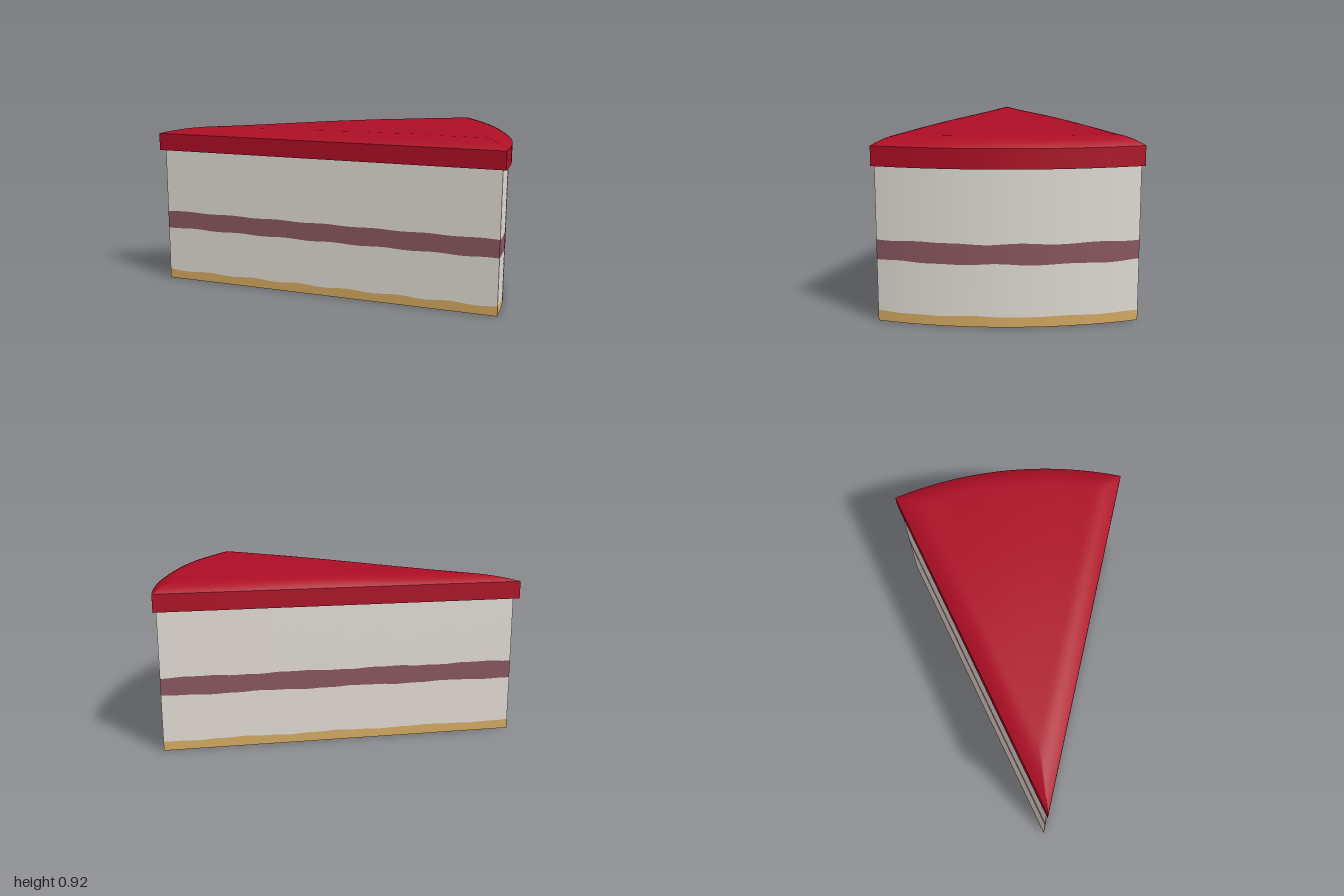
import * as THREE from 'three';
import { mergeGeometries } from 'three/addons/utils/BufferGeometryUtils.js';

const HALF = THREE.MathUtils.degToRad(19); // half the angle of the slice
const BODY = { tip: -0.965, radius: 1.95 };
const ICING = { tip: -1, radius: 2 };

const material = (name, color) => new THREE.MeshStandardMaterial({ name, color, side: THREE.DoubleSide });

// Point on the plan of a slice, from distance to the tip and angle
const polar = ({ tip }, r, a) => [tip + r * Math.cos(a), r * Math.sin(a)];

// Moves the vertices of a unit grid by a rule (u, v) -> [x, y, z]
function surface(nu, nv, rule) {
  const g = new THREE.PlaneGeometry(1, 1, nu, nv);
  const { position, uv } = g.attributes;
  for (let i = 0; i < position.count; i++) position.setXYZ(i, ...rule(uv.getX(i), uv.getY(i)));
  g.computeVertexNormals();
  return g;
}

// Band round the two cut sides and the curved rim, between two height rules
function wall(slice, low, high) {
  const { radius } = slice;
  const sides = [
    (u) => polar(slice, radius * u, HALF),
    (u) => polar(slice, radius, HALF * (1 - 2 * u)),
    (u) => polar(slice, radius * (1 - u), -HALF),
  ];
  return mergeGeometries(sides.map((side) => surface(48, 1, (u, v) => {
    const [x, z] = side(u);
    return [x, THREE.MathUtils.lerp(low(x, z), high(x, z), v), z];
  })));
}

// Flat underside of a slice
function underside(slice, y) {
  return surface(1, 32, (u, v) => {
    const [x, z] = polar(slice, slice.radius * u, HALF * (2 * v - 1));
    return [x, y, z];
  });
}

// Gently rippled boundary between layers
const ripple = (y, phase) => (x, z) =>
  y + 0.003 * Math.sin(18 * x + 15 * z + phase) + 0.0015 * Math.sin(31 * x - 23 * z + 2 * phase);
const level = (y) => () => y;

// Domed icing top, rounded off towards every edge
function icingTop() {
  return surface(48, 40, (u, v) => {
    const r = ICING.radius * Math.sin(u * Math.PI / 2);
    const a = HALF * Math.sin((v - 0.5) * Math.PI);
    const [x, z] = polar(ICING, r, a);
    const edge = Math.min(r * Math.sin(HALF - Math.abs(a)), ICING.radius - r);
    const k = 1 - (1 - Math.min(edge / 0.12, 1)) ** 2;
    const swell = 0.048 + 0.004 * Math.sin(3.2 * x + 0.4) + 0.002 * Math.sin(7 * z + 2 * x);
    return [x, 0.865 + k * swell, -z];
  });
}

export function createModel() {
  const group = new THREE.Group();
  group.name = 'cakeSlice';
  const biscuit = material('biscuit', 0xd6ab62);
  const cream = material('cream', 0xe2ddd5);
  const jam = material('jam', 0x8b5761);
  const red = material('redIcing', 0xae0e25);

  const add = (name, geometry, mat) => {
    const mesh = new THREE.Mesh(geometry, mat);
    mesh.name = name;
    group.add(mesh);
  };

  const baseTop = ripple(0.051, 0.5);
  const jamLow = ripple(0.309, 2);
  const jamHigh = ripple(0.409, 4);

  // Layers from the bottom up
  add('biscuitBase', mergeGeometries([wall(BODY, level(0), baseTop), underside(BODY, 0)]), biscuit);
  add('lowerSponge', wall(BODY, baseTop, jamLow), cream);
  add('jamFilling', wall(BODY, jamLow, jamHigh), jam);
  add('upperSponge', wall(BODY, jamHigh, level(0.77)), cream);

  // Overhanging icing
  add('icingEdge', mergeGeometries([wall(ICING, level(0.768), level(0.865)), underside(ICING, 0.768)]), red);
  add('icingTop', icingTop(), red);
  return group;
}
